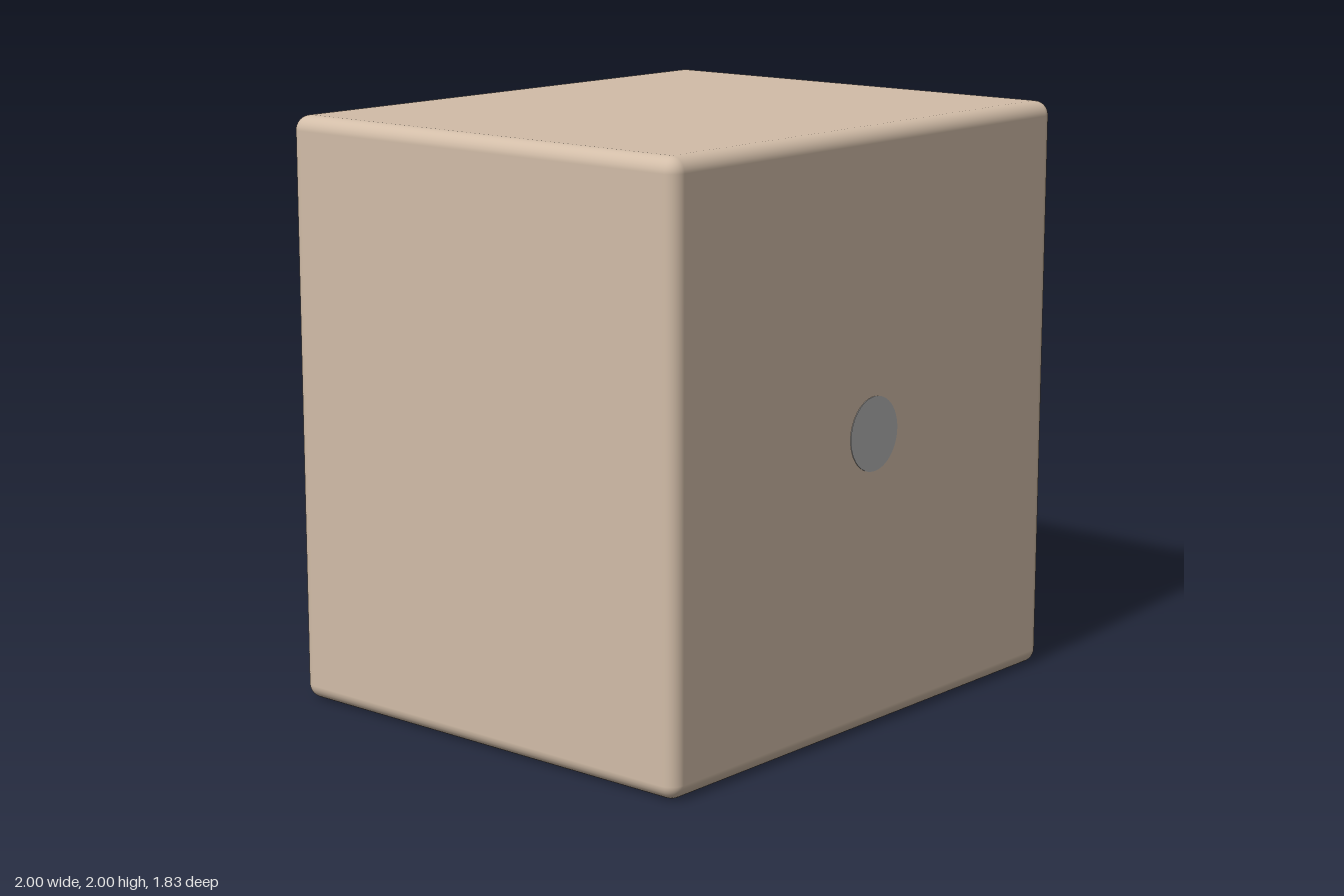
import * as THREE from 'three';
import { RoundedBoxGeometry } from 'three/addons/geometries/RoundedBoxGeometry.js';

const paint = (color) => new THREE.MeshStandardMaterial({ color });

export function createModel() {
  const model = new THREE.Group();
  const add = (name, geometry, color, x, y, z) => {
    const mesh = new THREE.Mesh(geometry, paint(color));
    mesh.name = name;
    mesh.position.set(x, y, z);
    model.add(mesh);
    return mesh;
  };

  // Main block with softly rounded edges
  add('body', new RoundedBoxGeometry(2, 2, 1.666, 4, 0.05), 0xd2bda8, 0, 1, 0.083);

  // Raised panel, sunk partway into the back of the block
  add('backPanel', new RoundedBoxGeometry(1.666, 1.666, 0.333, 4, 0.05), 0xd9b168, 0, 1, -0.749);

  // Round spot lying almost flush on the front
  const spot = add('frontSpot', new THREE.CylinderGeometry(0.125, 0.125, 0.02, 48), 0xb4b4b4, 0, 1, 0.908);
  spot.rotation.x = Math.PI / 2;

  return model;
}
